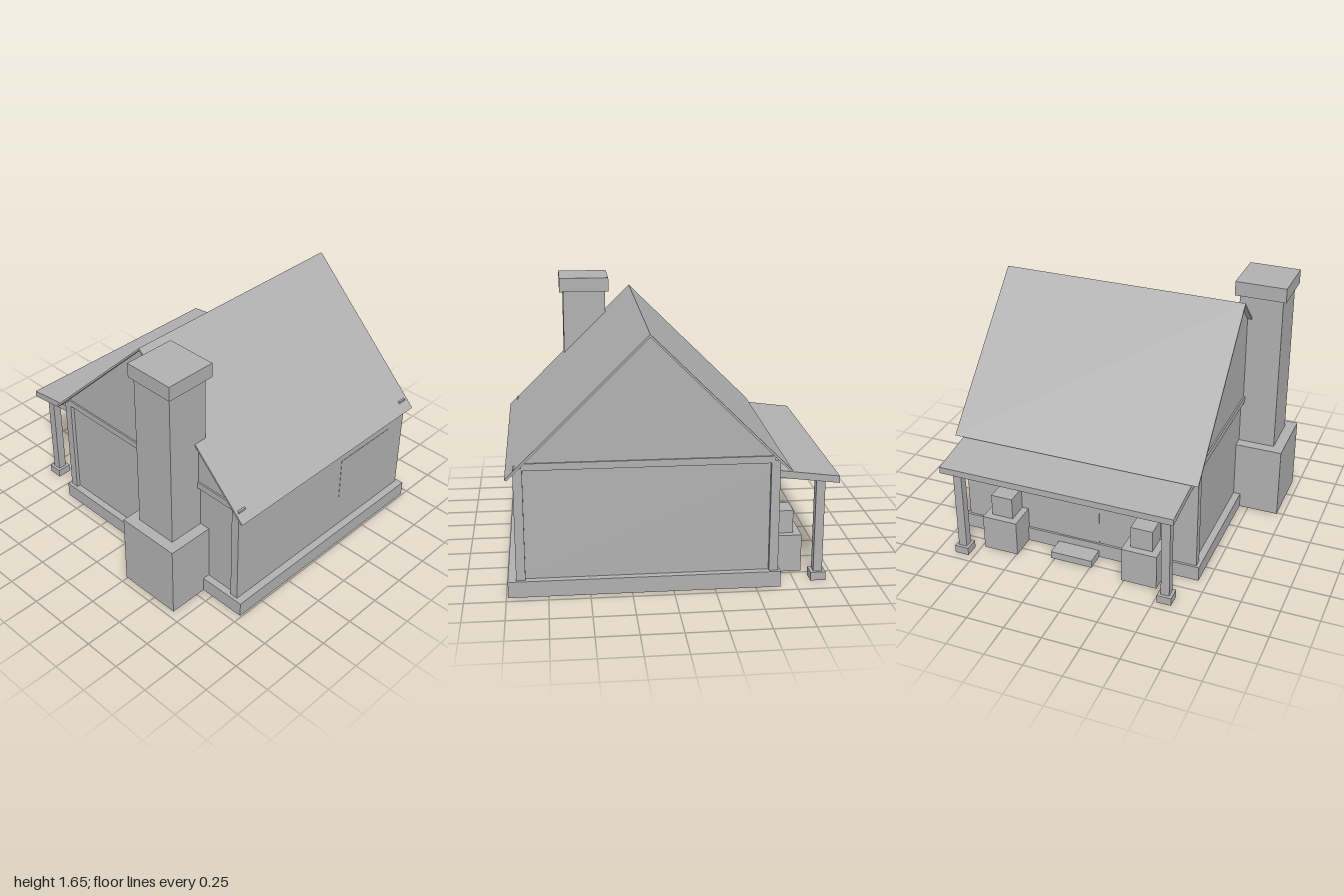
import * as THREE from 'three';

export function createModel() {
  const model = new THREE.Group();
  model.name = 'cottage';
  const grey = new THREE.MeshStandardMaterial({ color: 0xb0b0b0 });
  grey.name = 'plain grey';

  function add(name, geometry) {
    const mesh = new THREE.Mesh(geometry, grey);
    mesh.name = name;
    model.add(mesh);
    return mesh;
  }
  // Box given by its two limits on each axis
  function box(name, x0, x1, y0, y1, z0, z1) {
    const g = new THREE.BoxGeometry(x1 - x0, y1 - y0, z1 - z0);
    g.translate((x0 + x1) / 2, (y0 + y1) / 2, (z0 + z1) / 2);
    return add(name, g);
  }
  // Outline in x, y extruded between two z limits
  function prism(name, points, z0, z1) {
    const shape = new THREE.Shape(points.map(([x, y]) => new THREE.Vector2(x, y)));
    const g = new THREE.ExtrudeGeometry(shape, { depth: z1 - z0, bevelEnabled: false });
    g.translate(0, 0, z0);
    return add(name, g);
  }

  const front = 0.668, back = -0.93;

  // House body
  box('foundation', -0.65, 0.99, 0, 0.1, -0.95, 0.69);
  box('walls', -0.635, 0.94, 0.1, 0.74, back + 0.025, front - 0.025);
  for (const [x0, x1] of [[-0.635, -0.58], [0.885, 0.94]]) {
    box('frontCornerPost', x0, x1, 0.1, 0.8, front - 0.058, front);
    box('backCornerPost', x0, x1, 0.1, 0.8, back, back + 0.058);
  }
  box('wallPlate', -0.6, 0.9, 0.74, 0.785, back + 0.025, front - 0.025);
  box('tieBeam', -0.605, 0.892, 0.785, 0.828, back, front);

  // Gable and thin roof slabs
  prism('gable', [[-0.6, 0.828], [0.88, 0.828], [0.14, 1.568]], back + 0.01, front - 0.01);
  prism('roof', [[-0.706, 0.74], [-0.692, 0.735], [0.14, 1.564], [0.974, 0.735], [0.988, 0.74], [0.14, 1.58]],
    -0.955, 0.687);

  // Chimney
  box('chimneyBase', 0.24, 0.672, 0, 0.487, 0.6, 0.955);
  box('chimneyShaft', 0.31, 0.6, 0.487, 1.555, 0.6, 0.885);
  box('chimneyCap', 0.288, 0.625, 1.555, 1.65, 0.572, 0.908);

  // Porch
  prism('porchRoof', [[-1, 0.64], [-0.6, 0.69], [-0.6, 0.735], [-1, 0.683]], -0.91, 0.637);
  for (const z of [-0.835, 0.565]) {
    box('porchPost', -0.925, -0.87, 0.05, 0.66, z - 0.028, z + 0.028);
    box('porchPostFoot', -0.945, -0.85, 0, 0.053, z - 0.047, z + 0.047);
  }
  for (const z of [-0.612, 0.352]) {
    box('lowerCrate', -0.822, -0.585, 0, 0.24, z - 0.118, z + 0.118);
    box('upperCrate', -0.775, -0.63, 0.24, 0.387, z - 0.073, z + 0.073);
  }
  box('doorStep', -0.775, -0.64, 0, 0.05, -0.275, 0.01);

  // Thin door and window plates
  box('door', -0.638, -0.633, 0.1, 0.6, -0.275, 0.01);
  box('window', 0.938, 0.942, 0.34, 0.635, -0.77, -0.29);

  return model;
}
